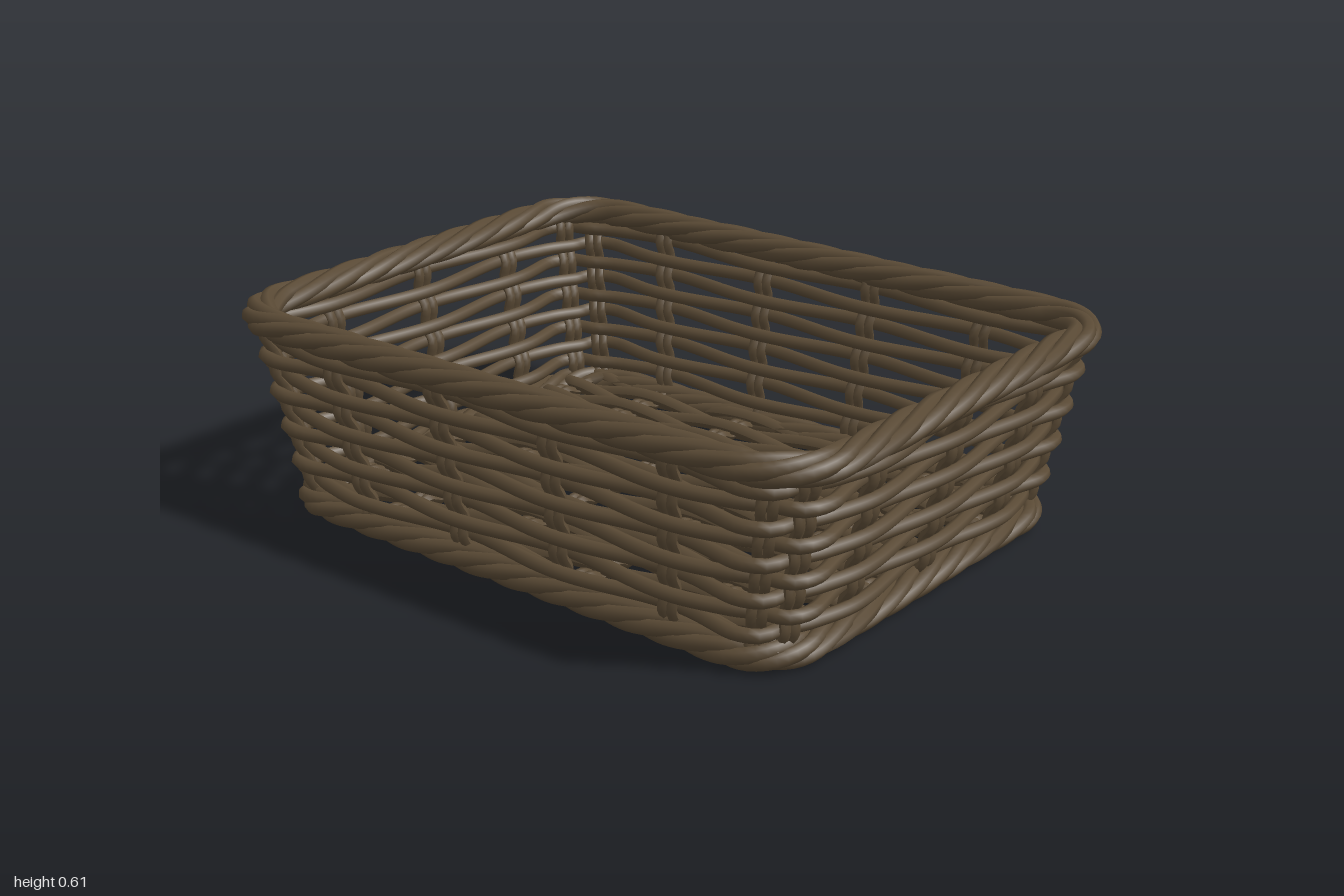
import * as THREE from 'three';

const wicker = new THREE.MeshStandardMaterial({ color: 0x5a4a35 });
wicker.name = 'dark wicker';

// Curve given by a function, sampled evenly in its own parameter
class RodCurve extends THREE.Curve {
  constructor(fn) { super(); this.fn = fn; }
  getPoint(t) { return this.fn(t); }
  getUtoTmapping(u) { return u; }
}

// Round rod along a path; open rods taper shut at both ends
function rod(name, fn, segments, radius, closed, sides = 7) {
  const geo = new THREE.TubeGeometry(new RodCurve(fn), segments, radius, sides, closed);
  if (!closed) {
    const pos = geo.attributes.position;
    for (const end of [0, segments]) {
      const p = fn(end / segments);
      for (let j = 0; j <= sides; j++) {
        const i = end * (sides + 1) + j;
        pos.setXYZ(i, p.x + (pos.getX(i) - p.x) * 0.05, p.y + (pos.getY(i) - p.y) * 0.05,
          p.z + (pos.getZ(i) - p.z) * 0.05);
      }
    }
    geo.computeVertexNormals();
  }
  const mesh = new THREE.Mesh(geo, wicker);
  mesh.name = name;
  return mesh;
}

// Rounded-rectangle outline: s is a nominal distance round the loop
const LONG = 1.35, SHORT = 0.95, CORNER = 0.28;
const LENGTHS = [LONG, CORNER, SHORT, CORNER, LONG, CORNER, SHORT, CORNER];
const LOOP = LENGTHS.reduce((a, b) => a + b);
const lerp = THREE.MathUtils.lerp;

// The walls flare outward with height
function outline(s, y, off = 0) {
  s = ((s % LOOP) + LOOP) % LOOP;
  let seg = 0;
  while (seg < 7 && s >= LENGTHS[seg]) s -= LENGTHS[seg++];
  const f = s / LENGTHS[seg];
  const h = (y - 0.043) / 0.525;
  const r = lerp(0.15, 0.18, h);
  const a = lerp(0.835, 0.948, h) - r, b = lerp(0.63, 0.71, h) - r;
  const flip = seg >= 4 ? -1 : 1;
  const q = seg % 4;
  let x, z, angle;
  if (q === 0) { x = lerp(-a, a, f); z = b; angle = Math.PI / 2; }
  else if (q === 1) { x = a; z = b; angle = (1 - f) * Math.PI / 2; }
  else if (q === 2) { x = a; z = lerp(b, -b, f); angle = 0; }
  else { x = a; z = -b; angle = -f * Math.PI / 2; }
  return new THREE.Vector3(flip * (x + (r + off) * Math.cos(angle)), y,
    flip * (z + (r + off) * Math.sin(angle)));
}

// Stake places: four per long side, three per short side, two per corner
const half = [];
for (const x of [-0.51, -0.17, 0.17, 0.51]) half.push(LONG / 2 + x);
for (const k of [1, 2]) half.push(LONG + CORNER * k / 3);
for (const z of [-0.33, 0, 0.33]) half.push(LONG + CORNER + SHORT / 2 + z);
for (const k of [1, 2]) half.push(LONG + CORNER + SHORT + CORNER * k / 3);
const stakes = [...half, ...half.map(s => s + LOOP / 2)];

// Weaving wave that peaks at each support, alternating in and out
function wave(s, marks) {
  let k = 0;
  while (k < marks.length - 2 && s >= marks[k + 1]) k++;
  return Math.cos(Math.PI * (k + (s - marks[k]) / (marks[k + 1] - marks[k])));
}

const ROWS = 9, ROW_Y = 0.106, ROW_STEP = 0.0512, AMP = 0.021;

function buildWalls() {
  const walls = new THREE.Group();
  walls.name = 'walls';
  const marks = [stakes[21] - LOOP, ...stakes, stakes[0] + LOOP];
  for (let i = 0; i < ROWS; i++) {
    const sign = i % 2 ? -1 : 1;
    walls.add(rod('wallStrand', t => {
      const s = (t % 1) * LOOP;
      return outline(s, ROW_Y + i * ROW_STEP, -sign * AMP * wave(s, marks));
    }, 240, 0.0195, true));
  }
  // Paired upright stakes bend against the strands
  stakes.forEach((s, k) => {
    for (const side of [-0.014, 0.014]) {
      walls.add(rod('wallStake', t => {
        const y = lerp(0.04, 0.57, t);
        const bend = (k % 2 ? 1 : -1) * 0.009 * Math.cos(Math.PI * (y - ROW_Y) / ROW_STEP);
        return outline(s + side, y, bend);
      }, 36, 0.0145, false, 6));
    }
  });
  return walls;
}

// Twisted rope edge
function buildRope(name, y, turns) {
  const rope = new THREE.Group();
  rope.name = name;
  const count = 5;
  for (let j = 0; j < count; j++) {
    rope.add(rod(name + 'Strand', t => {
      const a = 2 * Math.PI * (turns * t + j / count);
      const p = outline((t % 1) * LOOP, y, 0.03 * Math.cos(a));
      p.y += 0.021 * Math.sin(a);
      return p;
    }, 240, 0.0215, true));
  }
  return rope;
}

function buildFloor() {
  const floor = new THREE.Group();
  floor.name = 'floor';
  const ribs = [-0.78, -0.51, -0.17, 0.17, 0.51, 0.78];
  const count = 24, y = 0.045, end = 0.83, step = 1.2 / (count - 1);
  for (let i = 0; i < count; i++) {
    const sign = i % 2 ? -1 : 1, z = -0.6 + i * step;
    floor.add(rod('floorStrand', t => {
      const x = lerp(-end, end, t);
      return new THREE.Vector3(x, y + sign * 0.018 * wave(x, ribs), z);
    }, 50, 0.0195, false));
  }
  // Paired ribs run front to back
  ribs.forEach((x, k) => {
    for (const side of [-0.014, 0.014]) {
      floor.add(rod('floorRib', t => {
        const z = lerp(-0.63, 0.63, t);
        const bend = (k % 2 ? 1 : -1) * 0.008 * Math.cos(Math.PI * (z + 0.6) / step);
        return new THREE.Vector3(x + side, y + bend, z);
      }, 96, 0.0145, false, 6));
    }
  });
  return floor;
}

export function createModel() {
  const basket = new THREE.Group();
  basket.name = 'basket';
  basket.add(buildWalls(), buildFloor(), buildRope('topRim', 0.568, 9), buildRope('bottomRim', 0.043, 9));
  return basket;
}
